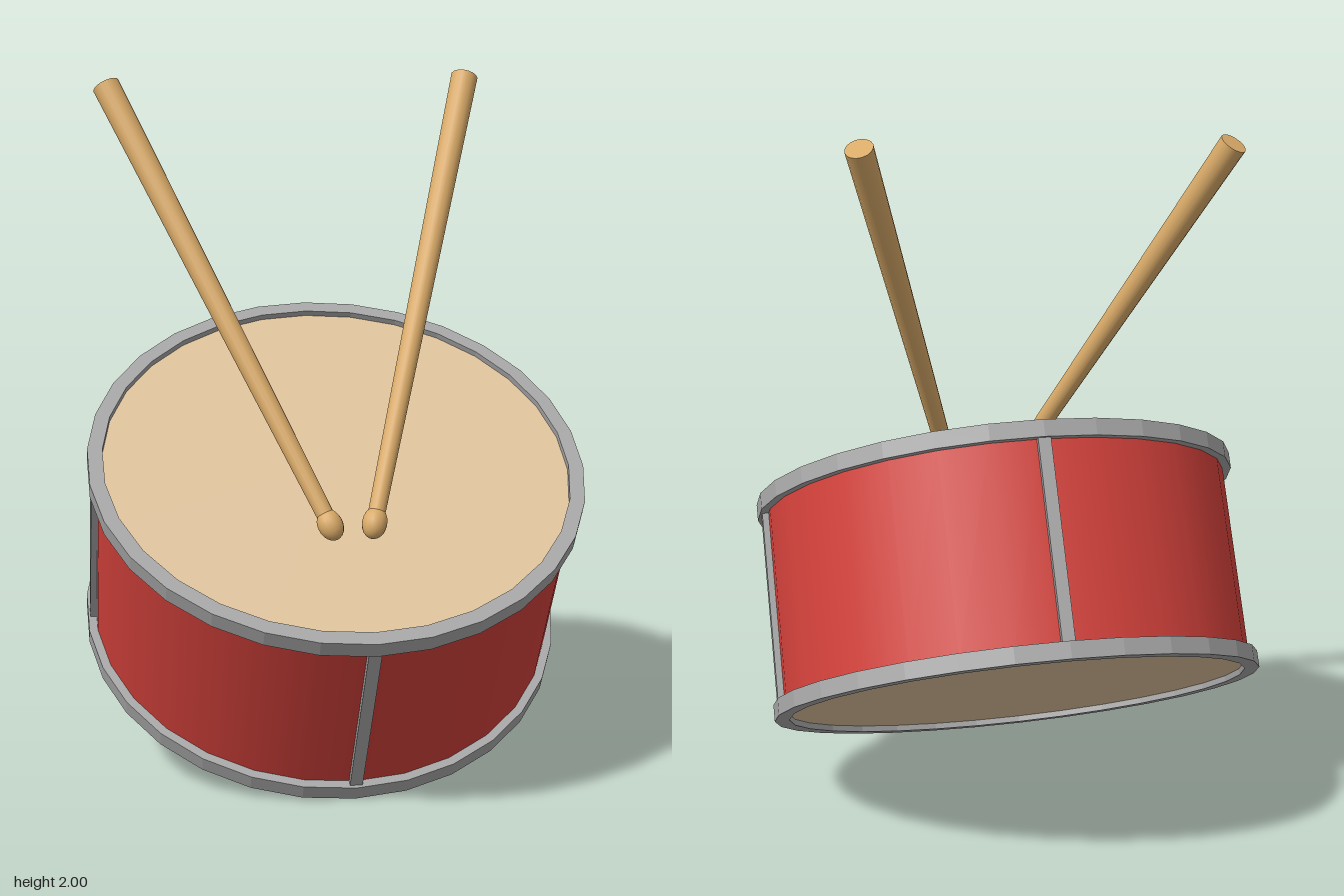
import * as THREE from 'three';

const mat = (name, color, extra = {}) => {
  const m = new THREE.MeshStandardMaterial({ color, ...extra });
  m.name = name;
  return m;
};

export function createModel() {
  const red = mat('red shell', 0xd0403a);
  const metal = mat('grey metal', 0xa6a6a6, { flatShading: true });
  const skin = mat('drum skin', 0xdec29c);
  const wood = mat('stick wood', 0xd9aa68);

  const model = new THREE.Group();
  model.name = 'drumWithSticks';

  const add = (parent, name, geometry, material) => {
    const mesh = new THREE.Mesh(geometry, material);
    mesh.name = name;
    parent.add(mesh);
    return mesh;
  };

  // Drum, tipped toward the front
  const drum = new THREE.Group();
  drum.name = 'drum';
  drum.position.y = 0.64;
  drum.rotation.x = Math.PI / 6;
  model.add(drum);

  const sides = 30;
  const half = 0.325;
  const rimHeight = 0.048;
  add(drum, 'shell', new THREE.CylinderGeometry(0.69, 0.69, 0.58, sides, 1, true), red)
    .rotation.y = Math.PI / sides * 2;

  // Hoops of square section with a recessed skin inside each
  const h = rimHeight / 2;
  const section = [[0.672, -h], [0.715, -h], [0.715, h], [0.672, h], [0.672, -h]]
    .map(([r, y]) => new THREE.Vector2(r, y));
  for (const [label, s] of [['top', 1], ['bottom', -1]]) {
    add(drum, label + 'Hoop', new THREE.LatheGeometry(section, sides), metal)
      .position.y = s * (half - h);
    add(drum, label + 'Skin', new THREE.CylinderGeometry(0.675, 0.675, 0.02, sides), skin)
      .position.y = s * (half - 0.028);
  }

  // Four tension rods around the shell
  for (let i = 0; i < 4; i++) {
    const a = i * Math.PI / 2;
    const rod = add(drum, 'tensionRod', new THREE.BoxGeometry(0.036, 0.58, 0.03), metal);
    rod.position.set(Math.sin(a) * 0.69, 0, Math.cos(a) * 0.69);
    rod.rotation.y = a;
  }

  // Tapered sticks with rounded tips
  const up = new THREE.Vector3(0, 1, 0);
  const addStick = (name, tip, butt) => {
    const from = new THREE.Vector3(...tip);
    const dir = new THREE.Vector3(...butt).sub(from);
    const length = dir.length();
    const stick = new THREE.Group();
    stick.name = name;
    stick.position.copy(from);
    stick.quaternion.setFromUnitVectors(up, dir.normalize());
    add(stick, 'shaft', new THREE.CylinderGeometry(0.04, 0.024, length, 16), wood)
      .position.y = length / 2;
    add(stick, 'tip', new THREE.SphereGeometry(0.035, 16, 12), wood).scale.y = 1.3;
    model.add(stick);
  };
  addStick('rightStick', [-0.073, 0.805, 0.465], [-0.62, 1.965, -0.155]);
  addStick('leftStick', [0.05, 0.805, 0.465], [0.447, 1.983, -0.215]);

  return model;
}
